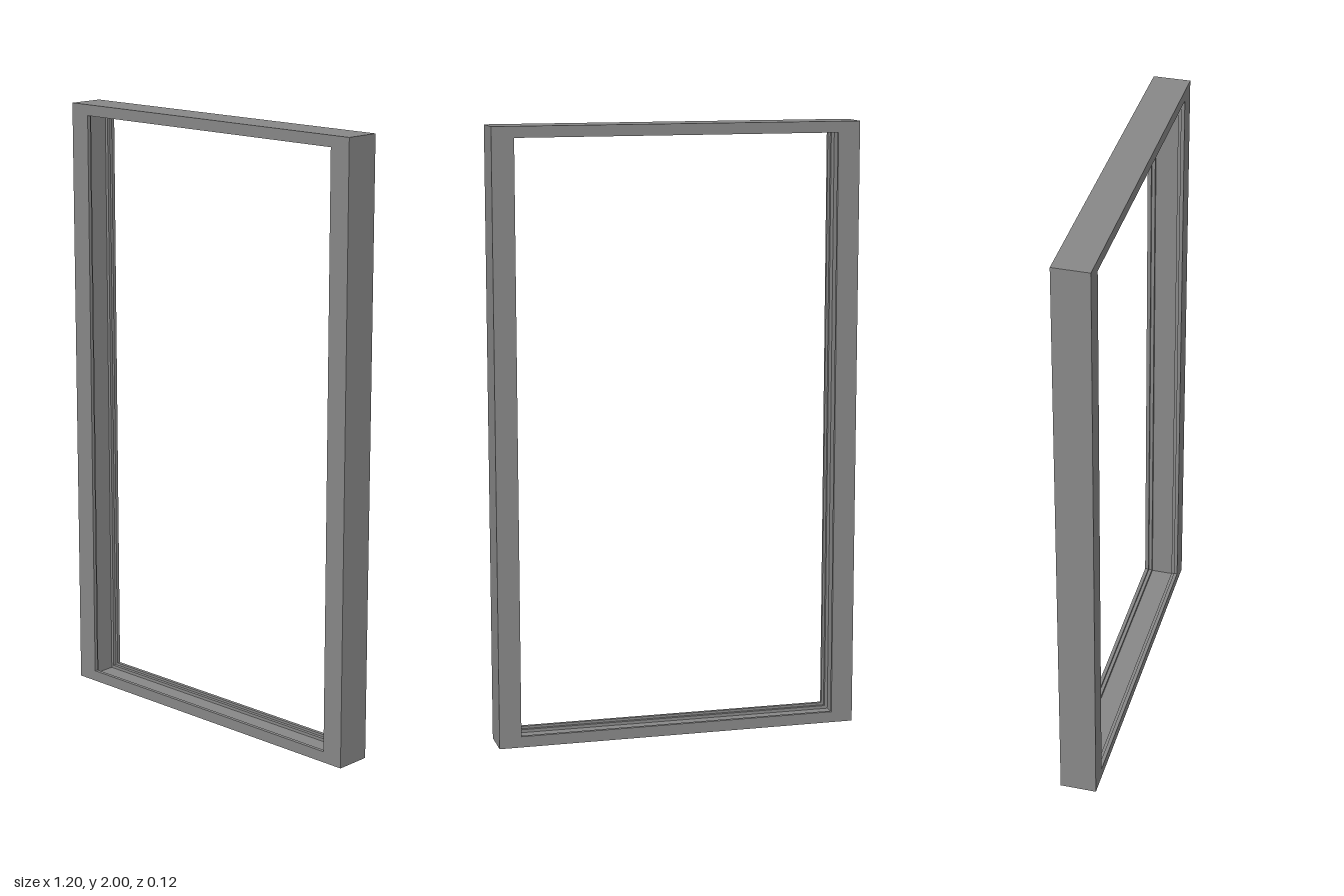
import * as THREE from 'three';

const OUTER = { x: 0.6, y: 1.0 };
const OPENING = { x: 0.528, y: 0.964 };

// Closed cross-section: [half width, half height, z]
function frameProfile() {
  const inner = (recess, z) => [OPENING.x + recess, OPENING.y + recess, z];
  const steps = [[0, 0.06], [0, 0.048], [0.008, 0.048], [0.008, 0.037], [0.018, 0.037]];
  const front = steps.map(([r, z]) => inner(r, z));
  const back = steps.map(([r, z]) => inner(r, -z)).reverse();
  return [[OUTER.x, OUTER.y, 0.06], ...front, ...back, [OUTER.x, OUTER.y, -0.06]];
}

// Sweep the cross-section round the rectangle with mitred corners
function sweepRectangle(profile) {
  const corners = [[1, -1], [1, 1], [-1, 1], [-1, -1]];
  const position = [];
  const point = ([hx, hy, z], [sx, sy]) => [sx * hx, 1 + sy * hy, z];
  corners.forEach((c0, i) => {
    const c1 = corners[(i + 1) % 4];
    profile.forEach((p, j) => {
      const q = profile[(j + 1) % profile.length];
      const a = point(p, c0), b = point(p, c1), c = point(q, c1), d = point(q, c0);
      position.push(...a, ...b, ...c, ...a, ...c, ...d);
    });
  });
  const geometry = new THREE.BufferGeometry();
  geometry.setAttribute('position', new THREE.Float32BufferAttribute(position, 3));
  geometry.computeVertexNormals();
  return geometry;
}

export function createModel() {
  const group = new THREE.Group();
  group.name = 'windowFrame';
  const material = new THREE.MeshStandardMaterial({ color: 0x888888, flatShading: true });

  // Jambs, head and sill with a stepped groove round the opening
  const frame = new THREE.Mesh(sweepRectangle(frameProfile()), material);
  frame.name = 'frame';
  group.add(frame);
  return group;
}
